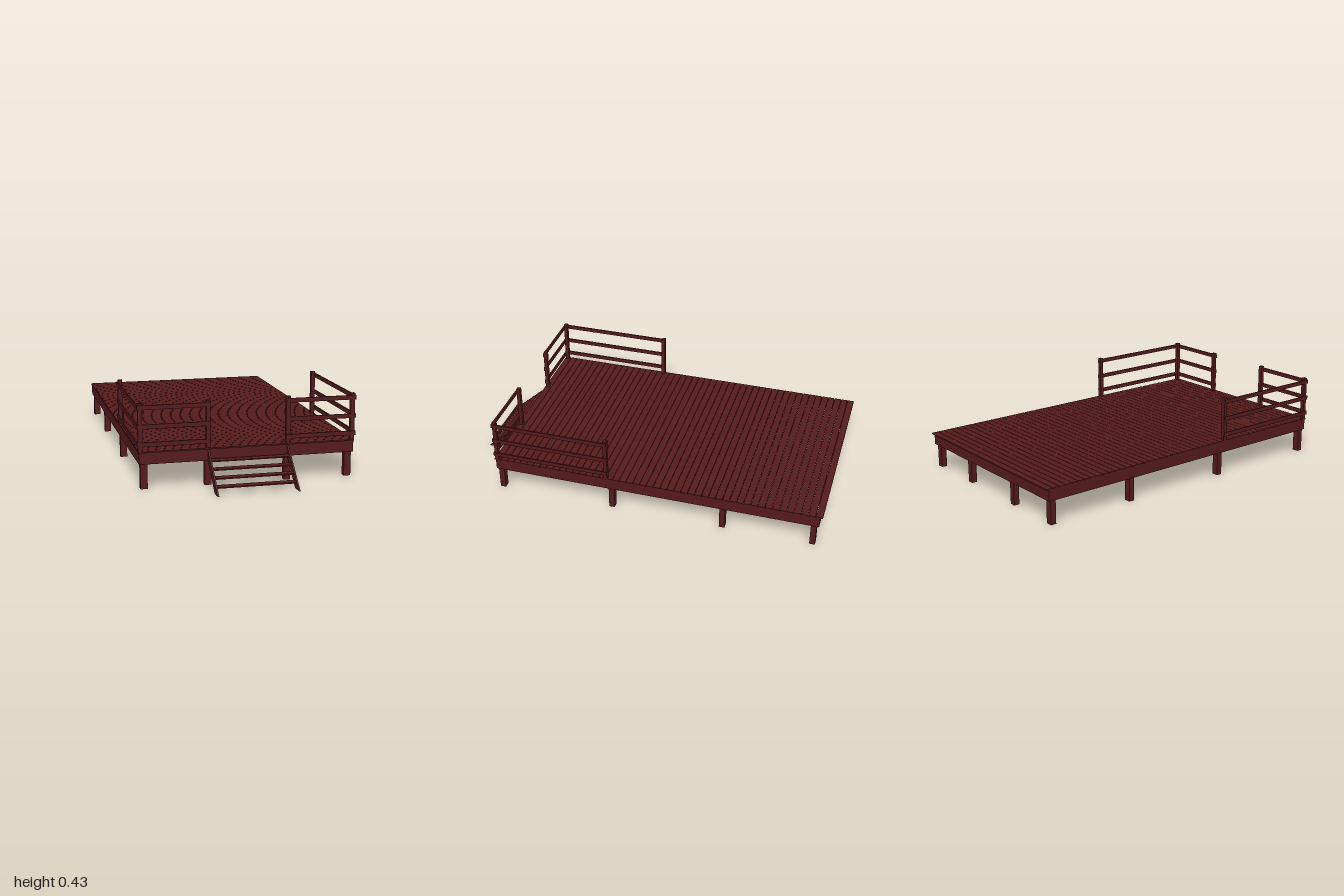
import * as THREE from 'three';

const wood = new THREE.MeshStandardMaterial({ color: 0x551a1c });

// Box given by its min/max extents on each axis
function board(parent, name, [x0, x1], [y0, y1], [z0, z1]) {
  const mesh = new THREE.Mesh(new THREE.BoxGeometry(x1 - x0, y1 - y0, z1 - z0), wood);
  mesh.position.set((x0 + x1) / 2, (y0 + y1) / 2, (z0 + z1) / 2);
  mesh.name = name;
  parent.add(mesh);
  return mesh;
}

function group(parent, name) {
  const g = new THREE.Group();
  g.name = name;
  parent.add(g);
  return g;
}

const around = (c, size) => [c - size / 2, c + size / 2];

export function createModel() {
  const model = new THREE.Group();
  model.name = 'raisedDeck';

  // Deck planks with narrow gaps
  const planks = group(model, 'deckPlanks');
  const count = 48, z0 = -1, pitch = 1.803 / count;
  for (let i = 0; i < count; i++) {
    const z = z0 + i * pitch;
    board(planks, 'plank', [-0.555, 0.555], [0.186, 0.193], [z, z + pitch - 0.002]);
  }

  // Skirt frame, open underneath
  const skirt = group(model, 'skirt');
  board(skirt, 'frontSkirt', [-0.553, 0.553], [0.127, 0.186], [0.785, 0.794]);
  board(skirt, 'backSkirt', [-0.553, 0.553], [0.127, 0.186], [-0.985, -0.976]);
  for (const s of [-1, 1])
    board(skirt, 'sideSkirt', around(s * 0.549, 0.008), [0.127, 0.186], [-0.976, 0.785]);

  // Support posts around the perimeter
  const supports = group(model, 'supportPosts');
  for (const s of [-1, 1]) {
    for (const z of [0.77, 0.135, -0.475, -0.957])
      board(supports, 'supportPost', around(s * 0.527, 0.036), [0, 0.186], around(z, 0.03));
    for (const z of [0.77, -0.957])
      board(supports, 'supportPost', around(s * 0.205, 0.033), [0, 0.186], around(z, 0.03));
  }

  // Corner railings, one on each side of the stairs
  for (const s of [-1, 1]) {
    const railing = group(model, s > 0 ? 'leftRailing' : 'rightRailing');
    for (const [x, z] of [[0.545, 0.785], [0.205, 0.785], [0.545, 0.162]])
      board(railing, 'railingPost', around(s * x, 0.022), [0.19, 0.432], around(z, 0.02));
    for (const y of [0.411, 0.316, 0.227]) {
      board(railing, 'frontRail', around(s * 0.375, 0.362), around(y, 0.022), [0.792, 0.8]);
      board(railing, 'sideRail', around(s * 0.557, 0.008), around(y, 0.022), [0.153, 0.8]);
    }
  }

  // Stairs: two slanted stringers and open treads
  const stairs = group(model, 'stairs');
  const profile = new THREE.Shape([[0.79, 0.186], [0.79, 0.128], [0.935, 0], [1, 0]]
    .map(([z, y]) => new THREE.Vector2(-z, y)));
  for (const s of [-1, 1]) {
    const geo = new THREE.ExtrudeGeometry(profile, { depth: 0.008, bevelEnabled: false });
    geo.translate(0, 0, -0.004).rotateY(Math.PI / 2); // profile -z becomes +z
    const stringer = new THREE.Mesh(geo, wood);
    stringer.name = 'stringer';
    stringer.position.x = s * 0.204;
    stairs.add(stringer);
  }
  for (let i = 0; i < 4; i++) {
    const z = 0.943 - i * 0.038;
    board(stairs, 'tread', [-0.2, 0.2], around(0.034 + i * 0.034, 0.006), around(z, 0.044));
  }

  return model;
}
